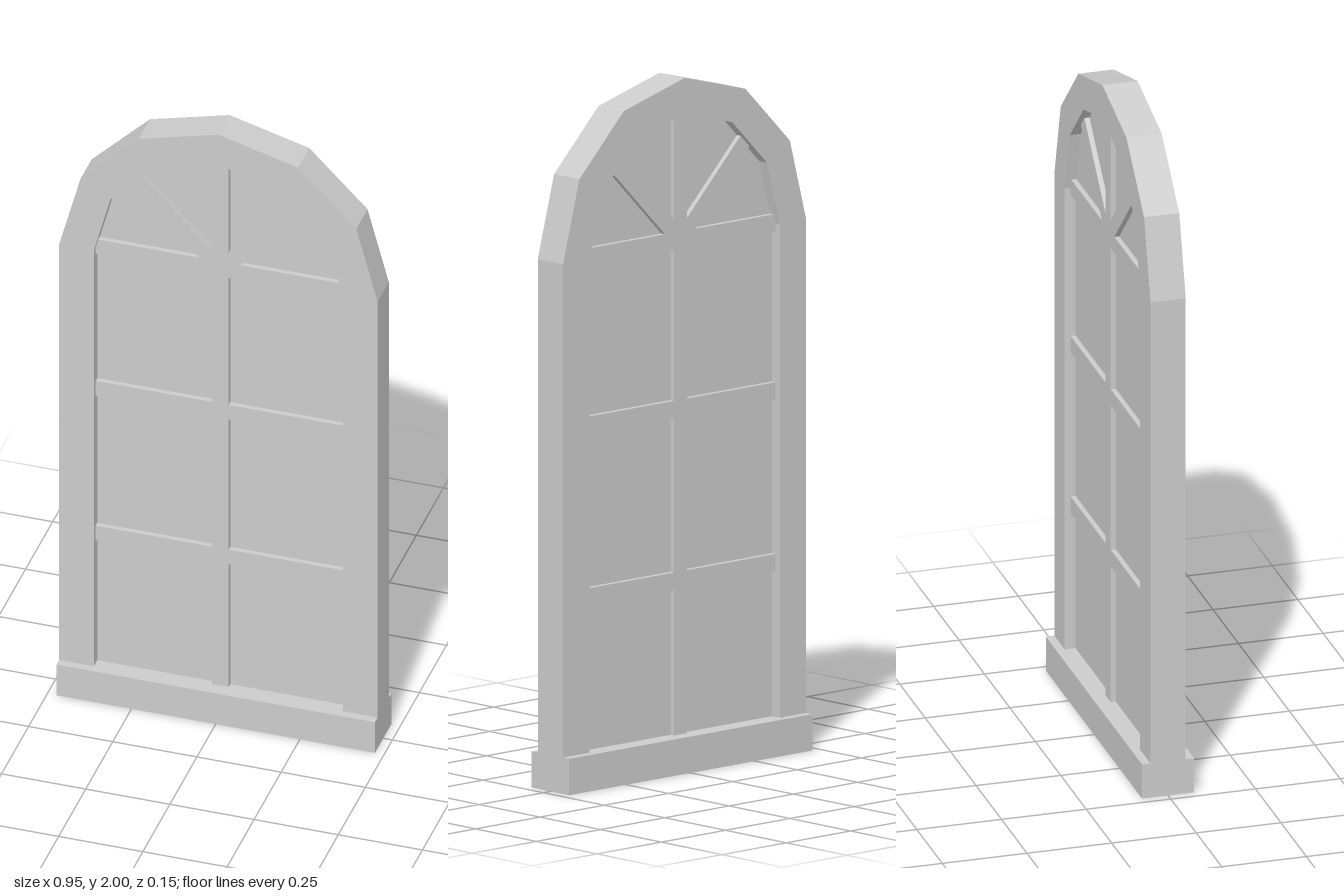
import * as THREE from 'three';

const HALF_W = 0.473, INNER_W = 0.37, SPRING = 1.527, SILL_H = 0.105;
const BAR_W = 0.05, BAR_D = 0.07;

export function createModel() {
  const group = new THREE.Group();
  group.name = 'archedWindow';
  const mat = new THREE.MeshStandardMaterial({ color: 0xcccccc, flatShading: true });

  const add = (name, geometry, x = 0, y = 0, z = 0) => {
    const mesh = new THREE.Mesh(geometry, mat);
    mesh.name = name;
    mesh.position.set(x, y, z);
    group.add(mesh);
    return mesh;
  };

  // Outline with straight jambs and a six-sided round head
  const archPoints = (r, bottom) => {
    const pts = [new THREE.Vector2(-r, bottom), new THREE.Vector2(r, bottom)];
    for (let i = 0; i <= 6; i++) {
      const a = (i * Math.PI) / 6;
      pts.push(new THREE.Vector2(r * Math.cos(a), SPRING + r * Math.sin(a)));
    }
    return pts;
  };
  const slab = (shape, depth) =>
    new THREE.ExtrudeGeometry(shape, { depth, bevelEnabled: false }).translate(0, 0, -depth / 2);

  // Frame: one continuous band, open at the sill
  const outer = archPoints(HALF_W, SILL_H).slice(1);
  const inner = archPoints(INNER_W, SILL_H).slice(1);
  outer.push(new THREE.Vector2(-HALF_W, SILL_H));
  inner.push(new THREE.Vector2(-INNER_W, SILL_H));
  add('frame', slab(new THREE.Shape([...outer, ...inner.reverse()]), 0.104));

  // Pane filling the opening
  add('pane', slab(new THREE.Shape(archPoints(INNER_W, SILL_H)), 0.04));

  // Sill
  add('sill', new THREE.BoxGeometry(HALF_W * 2, SILL_H, 0.154), 0, SILL_H / 2, 0);

  // Vertical glazing bar
  const top = SPRING + INNER_W;
  add('verticalBar', new THREE.BoxGeometry(BAR_W, top - SILL_H + 0.01, BAR_D), 0, (top + SILL_H) / 2, 0);

  // Horizontal glazing bars
  for (const y of [0.55, 1.045, 1.53]) {
    add('horizontalBar', new THREE.BoxGeometry(INNER_W * 2 + 0.01, BAR_W, BAR_D), 0, y, 0);
  }

  // Diagonal bars fanning out from the arch centre
  for (const s of [-1, 1]) {
    const len = INNER_W + 0.01;
    const bar = add('fanBar', new THREE.BoxGeometry(len, BAR_W, BAR_D).translate(len / 2, 0, 0), 0, 1.53, 0);
    bar.rotation.z = Math.PI / 2 - s * (Math.PI / 4);
  }

  return group;
}
